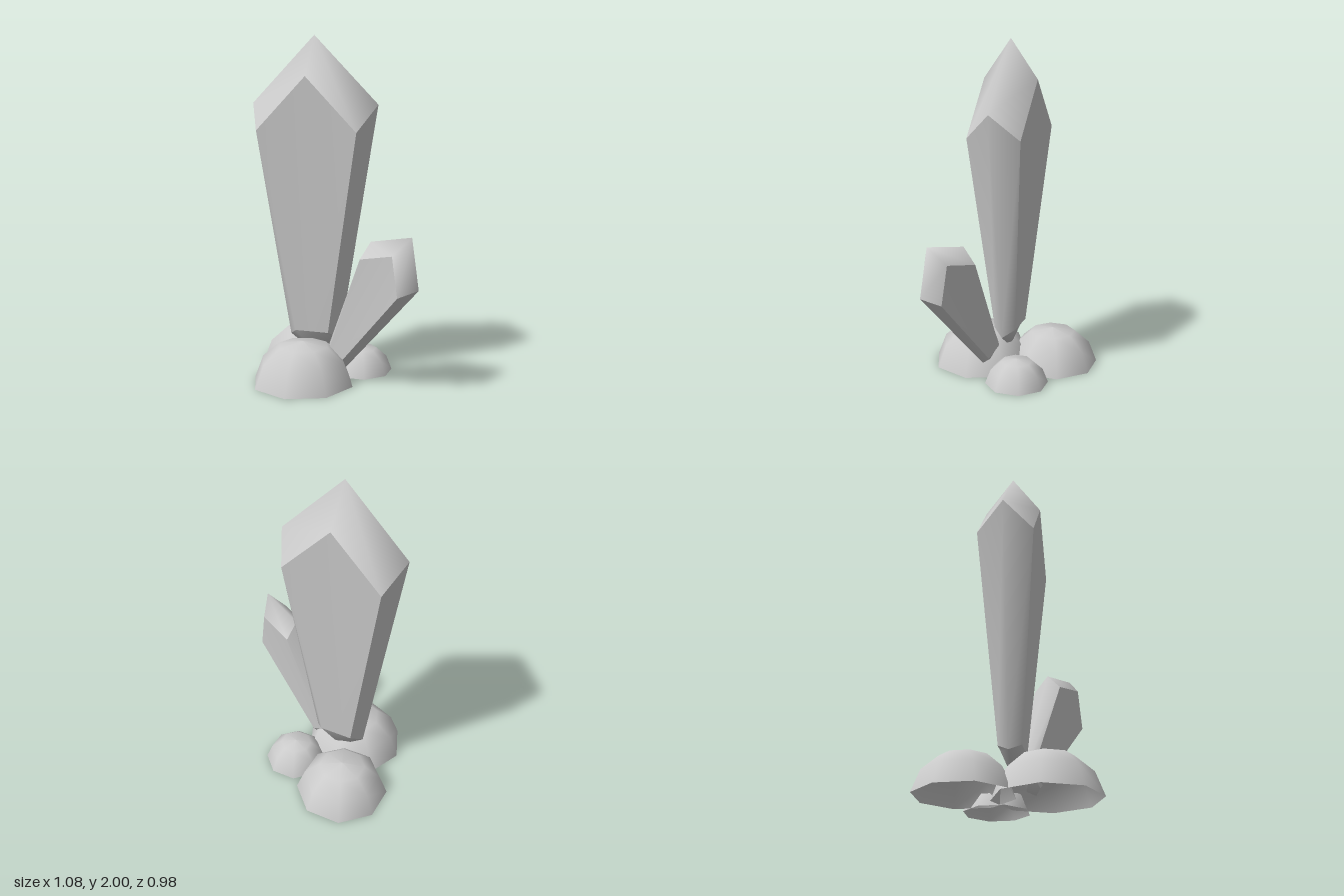
import * as THREE from 'three';

const material = new THREE.MeshStandardMaterial({ color: 0xcccccc, side: THREE.DoubleSide });

// Crystal outlines, counter-clockwise from the lower left: broad faces and widest middle section
const faceOutline = [[-0.1, 0.27, 0.065], [0, 0.27, 0.065], [0.1, 0.27, 0.065],
  [0.3, 1.46, 0.16], [0, 1.77, 0.163], [-0.3, 1.46, 0.16]];
const middleOutline = [[-0.155, 0.23, 0], [0, 0.12, 0], [0.155, 0.23, 0],
  [0.382, 1.61, 0], [0, 2, 0], [-0.382, 1.61, 0]];

function surface(points, index) {
  const g = new THREE.BufferGeometry();
  g.setAttribute('position', new THREE.Float32BufferAttribute(points.flat(), 3));
  g.setIndex(index);
  g.computeVertexNormals();
  return g;
}

function addMesh(parent, name, geometry) {
  const mesh = new THREE.Mesh(geometry, material);
  mesh.name = name;
  parent.add(mesh);
  return mesh;
}

function createCrystal(name) {
  const crystal = new THREE.Group();
  crystal.name = name;
  const backOutline = faceOutline.map(([x, y, z]) => [x, y, -z]);

  // Broad front and back faces
  const fan = [1, 2, 3, 1, 3, 4, 1, 4, 5, 1, 5, 0];
  addMesh(crystal, 'frontFace', surface(faceOutline, fan));
  addMesh(crystal, 'backFace', surface(backOutline, [...fan].reverse()));

  // Bevelled bands, smooth within each band and sharp between them
  const bands = { leftBevel: [2, 3], tipBevel: [3, 4, 5], rightBevel: [5, 0], baseBevel: [0, 1, 2] };
  for (const [bandName, ids] of Object.entries(bands)) {
    const points = [], index = [];
    for (const i of ids) points.push(faceOutline[i], middleOutline[i], backOutline[i]);
    for (let i = 0; i < ids.length - 1; i++) {
      for (let j = 0; j < 2; j++) {
        const a = i * 3 + j, b = a + 3;
        index.push(a, a + 1, b + 1, a, b + 1, b);
      }
    }
    addMesh(crystal, bandName, surface(points, index));
  }
  return crystal;
}

export function createModel() {
  const model = new THREE.Group();
  model.name = 'crystalCluster';

  const largeCrystal = createCrystal('largeCrystal');
  largeCrystal.position.x = -0.157;
  model.add(largeCrystal);

  // Smaller copy leaning out to the side
  const smallCrystal = createCrystal('smallCrystal');
  const up = new THREE.Vector3(0.521, 0.829, 0.201).normalize();
  const depth = new THREE.Vector3(-0.387, 0.02, 0.92).normalize();
  const across = new THREE.Vector3().crossVectors(up, depth).normalize();
  depth.crossVectors(across, up);
  smallCrystal.quaternion.setFromRotationMatrix(new THREE.Matrix4().makeBasis(across, up, depth));
  smallCrystal.scale.setScalar(0.534);
  smallCrystal.position.set(-0.066, 0.025, 0.045);
  model.add(smallCrystal);

  // Eight-sided domed stones, open underneath
  const profile = [[0.302, 0], [0.25, 0.135], [0.15, 0.222], [0, 0.247]]
    .map(([r, y]) => new THREE.Vector2(r, y));
  const stone = new THREE.LatheGeometry(profile, 8);
  const stones = [
    ['frontStone', -0.17, 0.185, 1, 0],
    ['backRightStone', -0.287, -0.234, 0.917, Math.PI / 8],
    ['backLeftStone', 0.09, -0.125, 0.62, Math.PI / 8],
  ];
  for (const [name, x, z, scale, turn] of stones) {
    const mesh = addMesh(model, name, stone);
    mesh.position.set(x, 0, z);
    mesh.scale.setScalar(scale);
    mesh.rotation.y = turn;
  }
  return model;
}
